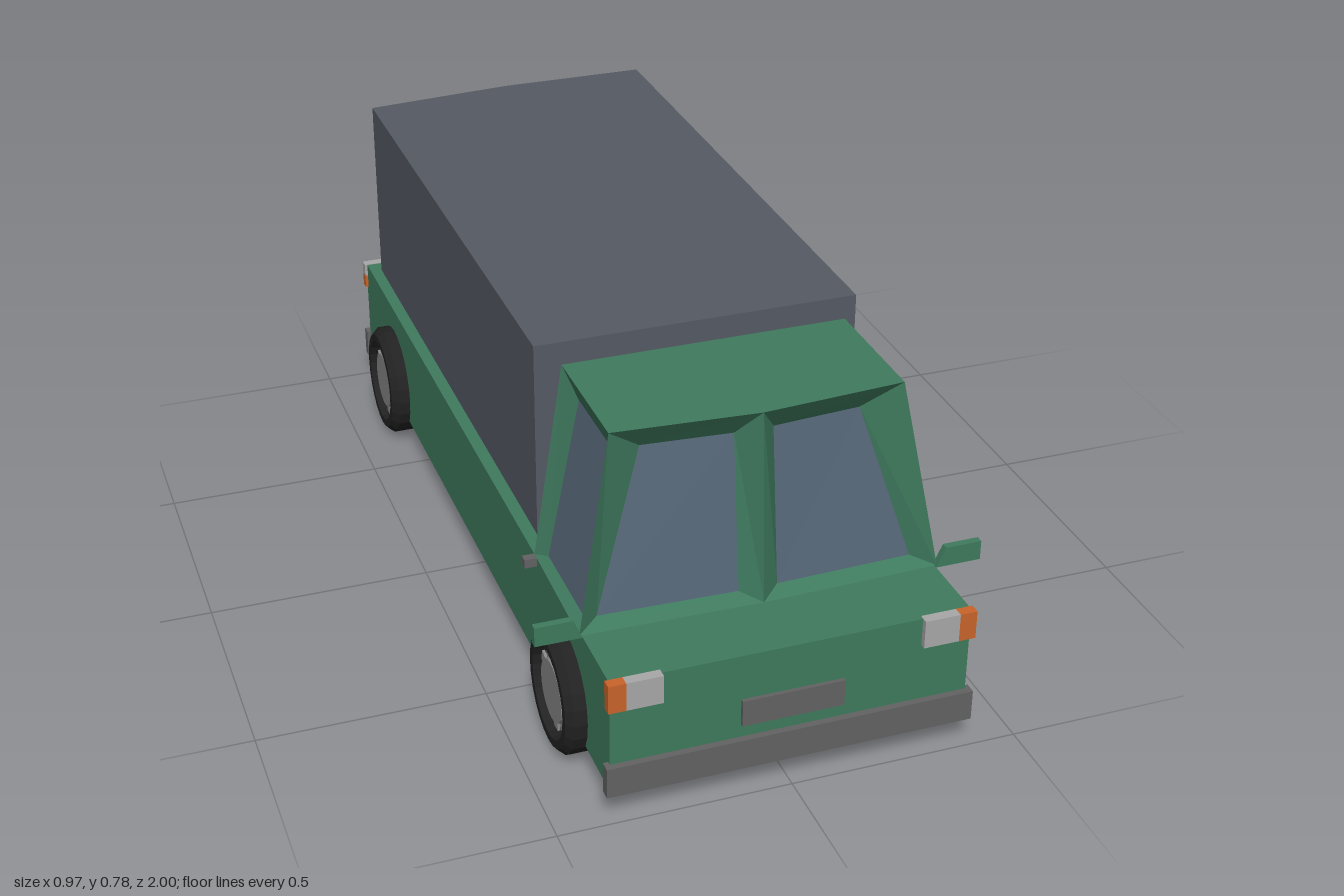
import * as THREE from 'three';

const paint = (color, side = THREE.FrontSide) =>
  new THREE.MeshStandardMaterial({ color, side, flatShading: true });

export function createModel() {
  const truck = new THREE.Group();
  truck.name = 'truck';
  const green = paint(0x3f7a5e), slate = paint(0x555a63), glass = paint(0x566778);
  const grey = paint(0x626262), black = paint(0x222222), hubGrey = paint(0x858585);
  const lamp = paint(0xa8a8a8), amber = paint(0xc8642a), red = paint(0xc0301c);

  const add = (name, geometry, material, parent = truck) => {
    const mesh = new THREE.Mesh(geometry, material);
    mesh.name = name;
    parent.add(mesh);
    return mesh;
  };
  // Box given by its minimum and maximum on each axis
  const box = (name, material, [x0, x1], [y0, y1], [z0, z1], parent) => {
    const g = new THREE.BoxGeometry(x1 - x0, y1 - y0, z1 - z0);
    g.translate((x0 + x1) / 2, (y0 + y1) / 2, (z0 + z1) / 2);
    return add(name, g, material, parent);
  };
  // Flat polygons with counter-clockwise corners, each cut into a fan
  const polygons = (list) => {
    const p = [];
    for (const c of list)
      for (let i = 1; i < c.length - 1; i++) p.push(...c[0], ...c[i], ...c[i + 1]);
    const g = new THREE.BufferGeometry();
    g.setAttribute('position', new THREE.Float32BufferAttribute(p, 3));
    g.computeVertexNormals();
    return g;
  };
  const mirrored = (quad) => quad.map(([x, y, z]) => [-x, y, z]).reverse();

  // Lower body
  box('body', green, [-0.385, 0.385], [0.07, 0.33], [-0.985, 0.985]);

  // Cargo box with a slightly kinked rear wall
  const plan = new THREE.Shape(
    [[-0.357, -0.43], [0.357, -0.43], [0.357, 0.97], [0, 0.97], [-0.357, 0.935]]
      .map(([x, y]) => new THREE.Vector2(x, y)));
  const cargo = new THREE.ExtrudeGeometry(plan, { depth: 0.45, bevelEnabled: false });
  cargo.rotateX(-Math.PI / 2).translate(0, 0.33, 0);
  add('cargoBox', cargo, slate);

  // Cab: every wall is a sloping frame around a sunken pane
  const cab = new THREE.Group();
  cab.name = 'cab';
  truck.add(cab);
  const wall = (name, outer, inner) => {
    const frame = outer.map((a, i) => {
      const j = (i + 1) % 4;
      return [a, outer[j], inner[j], inner[i]];
    });
    add(name + 'Frame', polygons(frame), green, cab);
    add(name + 'Glass', polygons([inner]), glass, cab);
  };
  const frontOuter = [[0, 0.33, 0.825], [0.39, 0.33, 0.815], [0.312, 0.753, 0.77], [0, 0.753, 0.793]];
  const frontInner = [[0.042, 0.345, 0.79], [0.342, 0.345, 0.78], [0.235, 0.69, 0.73], [0.042, 0.69, 0.745]];
  const sideOuter = [[0.39, 0.33, 0.815], [0.385, 0.33, 0.5], [0.312, 0.753, 0.475], [0.312, 0.753, 0.77]];
  const sideInner = [[0.365, 0.342, 0.785], [0.365, 0.342, 0.535], [0.295, 0.7, 0.535], [0.295, 0.7, 0.72]];
  wall('leftWindscreen', frontOuter, frontInner);
  wall('rightWindscreen', mirrored(frontOuter), mirrored(frontInner));
  wall('leftDoor', sideOuter, sideInner);
  wall('rightDoor', mirrored(sideOuter), mirrored(sideInner));
  wall('rearWindow',
    [[0.385, 0.33, 0.5], [-0.385, 0.33, 0.5], [-0.312, 0.753, 0.475], [0.312, 0.753, 0.475]],
    [[0.335, 0.345, 0.53], [-0.335, 0.345, 0.53], [-0.24, 0.69, 0.52], [0.24, 0.69, 0.52]]);
  add('roof', polygons([[[0, 0.753, 0.793], [0.312, 0.753, 0.77], [0.312, 0.753, 0.475],
    [-0.312, 0.753, 0.475], [-0.312, 0.753, 0.77]]]), green, cab);

  // Bumpers and number plates
  for (const [end, s] of [['front', 1], ['rear', -1]]) {
    const span = (a, b) => (s > 0 ? [a, b] : [-b, -a]);
    box(end + 'Bumper', grey, [-0.396, 0.396], [0.066, 0.135], span(0.975, 1));
    box(end + 'Plate', grey, [-0.11, 0.11], [0.166, 0.226], span(0.98, 0.994));
  }

  // Lamps, wing mirrors and door handles on both sides
  for (const [side, s] of [['left', 1], ['right', -1]]) {
    const span = (a, b) => (s > 0 ? [a, b] : [-b, -a]);
    box(side + 'Headlamp', lamp, span(0.278, 0.355), [0.267, 0.331], [0.975, 0.998]);
    box(side + 'FrontIndicator', amber, span(0.355, 0.392), [0.267, 0.331], [0.975, 0.998]);
    box(side + 'ReversingLamp', lamp, span(0.278, 0.392), [0.3, 0.331], [-0.998, -0.975]);
    box(side + 'TailLamp', red, span(0.278, 0.355), [0.267, 0.3], [-0.998, -0.975]);
    box(side + 'RearIndicator', amber, span(0.355, 0.392), [0.267, 0.3], [-0.998, -0.975]);
    box(side + 'DoorHandle', grey, span(0.38, 0.412), [0.31, 0.33], [0.497, 0.517]);

    const outline = new THREE.Shape(
      [[0.385, 0.33], [0.485, 0.33], [0.485, 0.374], [0.405, 0.374]]
        .map(([x, y]) => new THREE.Vector2(s * x, y)));
    const housing = new THREE.ExtrudeGeometry(outline, { depth: 0.016, bevelEnabled: false });
    add(side + 'Mirror', housing.translate(0, 0, 0.807), green);
    box(side + 'MirrorGlass', glass, span(0.412, 0.48), [0.335, 0.369], [0.805, 0.808]);
  }

  // Wheels: chamfered tyre with a sunken face, hub disc and ring of spokes
  const profile = [[0, 0.26], [0.12, 0.26], [0.135, 0.275], [0.135, 0.412], [0.12, 0.428],
    [0.102, 0.428], [0.097, 0.405], [0, 0.405]].map(([r, y]) => new THREE.Vector2(r, y));
  const tyreGeometry = new THREE.LatheGeometry(profile, 24).rotateZ(-Math.PI / 2);
  const hubGeometry = new THREE.CylinderGeometry(0.068, 0.072, 0.02, 24)
    .rotateZ(-Math.PI / 2).translate(0.41, 0, 0);
  const spokeGeometry = new THREE.BoxGeometry(0.012, 0.026, 0.026).translate(0.405, 0.082, 0);
  for (const [axle, z] of [['front', 0.714], ['rear', -0.702]])
    for (const [side, turn] of [['Left', 0], ['Right', Math.PI]]) {
      const wheel = new THREE.Group();
      wheel.name = axle + side + 'Wheel';
      wheel.position.set(0, 0.135, z);
      wheel.rotation.y = turn;
      truck.add(wheel);
      add('tyre', tyreGeometry, black, wheel);
      add('hub', hubGeometry, hubGrey, wheel);
      for (let i = 0; i < 10; i++)
        add('spoke', spokeGeometry, hubGrey, wheel).rotation.x = (i / 10) * Math.PI * 2;
    }

  return truck;
}
